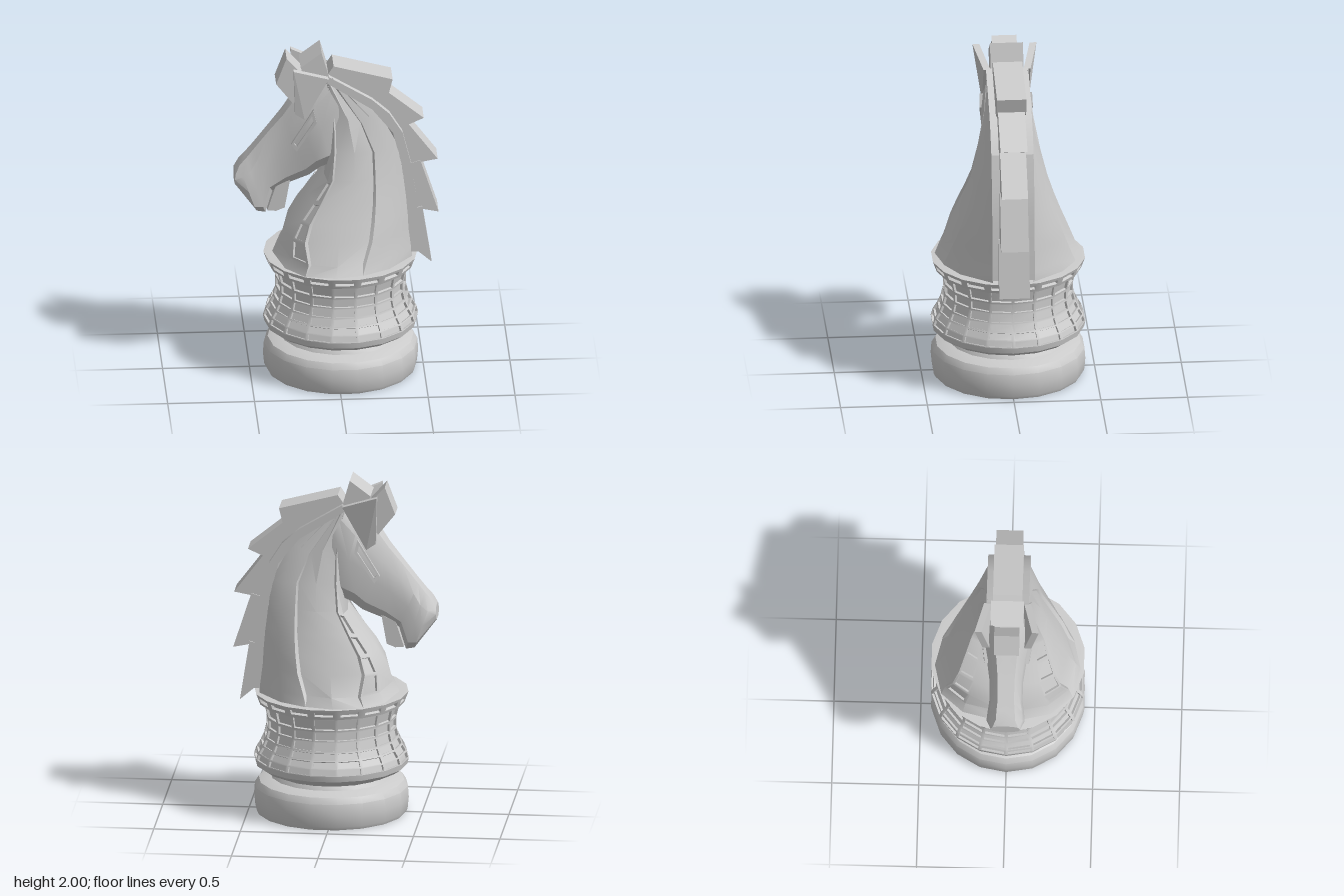
import * as THREE from 'three';
import { toCreasedNormals } from 'three/addons/utils/BufferGeometryUtils.js';

const CX = 0.025, SIDES = 18;
const grey = new THREE.MeshStandardMaterial({ color: 0xcccccc, side: THREE.DoubleSide });
const V = (x, y, z = 0) => new THREE.Vector3(x, y, z);
const mix = (a, b, t) => a.clone().lerp(b, t);

function part(name, geometry, crease = 0.5) {
  const mesh = new THREE.Mesh(toCreasedNormals(geometry, crease), grey);
  mesh.name = name;
  return mesh;
}

// Triangle lists
const quad = (out, a, b, c, d) => out.push(a, b, c, a, c, d);

function fromTriangles(tris, mirror = false) {
  const all = [...tris];
  if (mirror) {
    for (let i = 0; i < tris.length; i += 3) {
      for (const k of [0, 2, 1]) all.push(tris[i + k].clone().multiply(V(1, 1, -1)));
    }
  }
  return new THREE.BufferGeometry().setFromPoints(all);
}

// A four-sided face with a frame around a sunken panel
function insetPanel(out, a, b, c, d, mu, mv, depth) {
  const at = (u, v) => mix(mix(a, b, u), mix(d, c, u), v);
  const n = b.clone().sub(a).cross(d.clone().sub(a)).normalize().multiplyScalar(-depth);
  const rim = [a, b, c, d];
  const inner = [at(mu, mv), at(1 - mu, mv), at(1 - mu, 1 - mv), at(mu, 1 - mv)];
  const sunk = inner.map(p => p.clone().add(n));
  for (let i = 0; i < 4; i++) {
    const j = (i + 1) % 4;
    quad(out, rim[i], rim[j], inner[j], inner[i]);
    quad(out, inner[i], inner[j], sunk[j], sunk[i]);
  }
  quad(out, ...sunk);
}

// A flat outline in x and y, given thickness across z
function slab(name, points, half, hole) {
  const shape = new THREE.Shape(points.map(p => new THREE.Vector2(...p)));
  if (hole) shape.holes.push(new THREE.Path(hole.map(p => new THREE.Vector2(...p))));
  const g = new THREE.ExtrudeGeometry(shape, { depth: half * 2, bevelEnabled: false });
  g.translate(0, 0, -half);
  return part(name, g, 0.3);
}

function bend(mesh, rule) {
  const p = mesh.geometry.attributes.position;
  for (let i = 0; i < p.count; i++) p.setZ(i, rule(p.getX(i), p.getY(i), p.getZ(i)));
  mesh.geometry.computeVertexNormals();
  return mesh;
}

function lathe(name, profile) {
  const g = new THREE.LatheGeometry(profile.map(p => new THREE.Vector2(...p)), SIDES, Math.PI / SIDES);
  g.translate(CX, 0, 0);
  return part(name, g);
}

function makeBase() {
  const base = new THREE.Group();
  base.name = 'base';
  base.add(lathe('foot', [[0, 0], [0.43, 0], [0.44, 0.02], [0.447, 0.09], [0.442, 0.155], [0.42, 0.19],
    [0.38, 0.205], [0.35, 0.212], [0.337, 0.235], [0.355, 0.25], [0.4, 0.262], [0.44, 0.29], [0.447, 0.325]]));
  base.add(lathe('collarTop', [[0.445, 0.72], [0.42, 0.722], [0, 0.722]]));
  // Rings of sunken panels, one per side
  const rings = [[0.447, 0.325], [0.435, 0.365], [0.41, 0.407], [0.39, 0.452],
    [0.376, 0.51], [0.376, 0.57], [0.395, 0.655], [0.422, 0.658], [0.445, 0.72]];
  const tris = [];
  const at = ([r, y], i) => {
    const a = (i + 0.5) * 2 * Math.PI / SIDES;
    return V(CX + r * Math.sin(a), y, r * Math.cos(a));
  };
  for (let k = 0; k < rings.length - 1; k++) {
    for (let i = 0; i < SIDES; i++) {
      const c = [at(rings[k], i), at(rings[k], i + 1), at(rings[k + 1], i + 1), at(rings[k + 1], i)];
      if (k === 6) quad(tris, ...c);
      else if (k === 7) insetPanel(tris, ...c, 0.14, 0.28, 0.02);
      else insetPanel(tris, ...c, 0.07, 0.12, 0.015);
    }
  }
  base.add(part('panelledCollar', fromTriangles(tris), 0.4));
  return base;
}

// Half width of the neck at a height
const widths = [[0.72, 0.42], [1.0, 0.31], [1.2, 0.24], [1.4, 0.19], [1.6, 0.15], [1.85, 0.115]];
function neckWidth(y) {
  let i = 0;
  while (i < widths.length - 2 && y > widths[i + 1][0]) i++;
  const [y0, w0] = widths[i], [y1, w1] = widths[i + 1];
  return w0 + (w1 - w0) * (y - y0) / (y1 - y0);
}

// Neck edges from base to poll: chest, panel front, panel back, crest
const chest = [[-0.37, 0.72], [-0.33, 0.78], [-0.3, 0.88], [-0.24, 0.98], [-0.16, 1.08], [-0.07, 1.2], [-0.06, 1.4], [-0.05, 1.62], [-0.07, 1.83]];
const panelFront = [[-0.2, 0.72], [-0.18, 0.78], [-0.2, 0.9], [-0.17, 1.0], [-0.1, 1.12], [-0.035, 1.24], [-0.02, 1.4], [-0.02, 1.62], [-0.06, 1.83]];
const panelBack = [[0.15, 0.72], [0.15, 0.78], [0.19, 0.9], [0.205, 1.0], [0.215, 1.12], [0.215, 1.25], [0.21, 1.4], [0.14, 1.57], [-0.05, 1.84]];
const crestLine = [[0.43, 0.72], [0.43, 0.78], [0.415, 0.9], [0.41, 1.0], [0.4, 1.12], [0.385, 1.25], [0.36, 1.4], [0.24, 1.63], [-0.03, 1.85]];

function makeNeck() {
  const last = chest.length - 1;
  const rows = chest.map((p, s) => {
    const a = V(...p), c = V(...panelFront[s]), d = V(...panelBack[s]), e = V(...crestLine[s], 0.115);
    c.z = 0.9 * neckWidth(c.y);
    d.z = 0.9 * neckWidth(d.y);
    const b = mix(a, c, 0.35);
    b.z = 0.6 * neckWidth(b.y);
    const sink = s > 0 && s < last ? 0.014 : 0;
    const mid = mix(c, d, 0.5);
    mid.z = neckWidth(mid.y) - sink / 2;
    const ci = mix(c, mid, 0.1), di = mix(d, mid, 0.1);
    ci.z -= sink;
    di.z -= sink;
    const m = mix(d, e, 0.5);
    m.z *= 1 + 0.2 * (1 - s / last);
    return [a, b, c, ci, mid, di, d, m, e];
  });
  const tris = [];
  for (let s = 0; s < last; s++) {
    for (let k = 0; k < rows[s].length - 1; k++) {
      const q = [rows[s][k], rows[s][k + 1], rows[s + 1][k + 1], rows[s + 1][k]];
      // Stacked panels beside the chest
      if (k === 1 && s > 0 && s < 5) insetPanel(tris, ...q, 0.12, 0.1, 0.015);
      else quad(tris, ...q);
    }
  }
  return part('neck', fromTriangles(tris, true));
}

function makeHead() {
  // Sections from muzzle to poll: top x y, bottom x y, half width
  const sections = [
    [-0.585, 1.25, -0.588, 1.17, 0.085], [-0.56, 1.29, -0.46, 1.0, 0.11], [-0.52, 1.335, -0.41, 0.99, 0.105],
    [-0.48, 1.385, -0.37, 1.12, 0.095], [-0.39, 1.5, -0.28, 1.17, 0.097], [-0.31, 1.6, -0.16, 1.22, 0.115],
    [-0.25, 1.69, -0.1, 1.27, 0.135], [-0.15, 1.78, -0.03, 1.3, 0.15], [-0.05, 1.855, 0.06, 1.5, 0.13]];
  const ring = [[0, 0], [0, 0.5], [0.2, 0.88], [0.5, 1], [0.85, 0.9], [1, 0.45], [1, 0]];
  const rows = sections.map(([tx, ty, bx, by, w]) =>
    ring.map(([t, f]) => V(tx + (bx - tx) * t, ty + (by - ty) * t, w * f)));
  const tris = [];
  for (let k = 0; k < ring.length - 1; k++) {
    tris.push(rows[0][0], rows[0][k + 1], rows[0][k]);
    for (let s = 0; s < rows.length - 1; s++) {
      quad(tris, rows[s][k + 1], rows[s + 1][k + 1], rows[s + 1][k], rows[s][k]);
    }
  }
  const head = new THREE.Group();
  head.name = 'head';
  head.add(part('face', fromTriangles(tris, true)));
  head.add(slab('lowerJaw', [[-0.4, 1.005], [-0.35, 1.0], [-0.3, 1.02], [-0.27, 1.19], [-0.35, 1.16]], 0.06));
  for (const side of [1, -1]) {
    const eye = bend(slab('eyeFrame', [[-0.14, 1.665], [-0.122, 1.585], [-0.235, 1.4], [-0.268, 1.44]], 0.014,
      [[-0.148, 1.63], [-0.14, 1.588], [-0.235, 1.43], [-0.25, 1.45]]), (x, y, z) => z + 0.127 + 0.2 * (x + 0.19));
    const ear = bend(slab('ear', [[-0.255, 1.925], [-0.245, 1.64], [-0.19, 1.6], [-0.05, 1.85]], 0.02),
      (x, y, z) => z + 0.115 + (-0.05 - x) * (y - 1.6) * 0.75);
    eye.scale.z = ear.scale.z = side;
    head.add(eye, ear);
  }
  return head;
}

function makeMane() {
  const mane = new THREE.Group();
  mane.name = 'mane';
  const outer = [[0.465, 0.75], [0.455, 1.1], [0.425, 1.3], [0.375, 1.5], [0.3, 1.62], [0.2, 1.71], [-0.05, 1.86]];
  const inner = [[-0.06, 1.82], [0.2, 1.65], [0.32, 1.5], [0.37, 1.3], [0.4, 1.0], [0.42, 0.75]];
  mane.add(slab('crestRail', [...outer, ...inner], 0.122));
  const locks = [
    [[-0.29, 1.96], [-0.35, 1.8], [-0.24, 1.66], [-0.2, 1.86]],
    [[-0.21, 1.91], [-0.09, 2.0], [-0.05, 1.86], [-0.14, 1.77]],
    [[-0.06, 1.85], [-0.02, 1.91], [0.32, 1.82], [0.295, 1.72], [0.2, 1.66]],
    [[0.2, 1.68], [0.29, 1.74], [0.5, 1.57], [0.4, 1.525], [0.33, 1.5]],
    [[0.34, 1.5], [0.41, 1.535], [0.58, 1.31], [0.47, 1.29], [0.4, 1.28]],
    [[0.4, 1.28], [0.48, 1.305], [0.585, 0.98], [0.49, 1.0], [0.42, 1.0]],
    [[0.42, 1.0], [0.49, 1.02], [0.545, 0.67], [0.44, 0.76]]];
  const halves = [0.072, 0.095, 0.085, 0.078, 0.075, 0.08, 0.088];
  locks.forEach((points, i) => mane.add(slab(i < 2 ? 'forelock' : 'maneLock', points, halves[i])));
  return mane;
}

export function createModel() {
  const model = new THREE.Group();
  model.name = 'chessKnight';
  model.add(makeBase(), makeNeck(), makeHead(), makeMane());
  return model;
}
